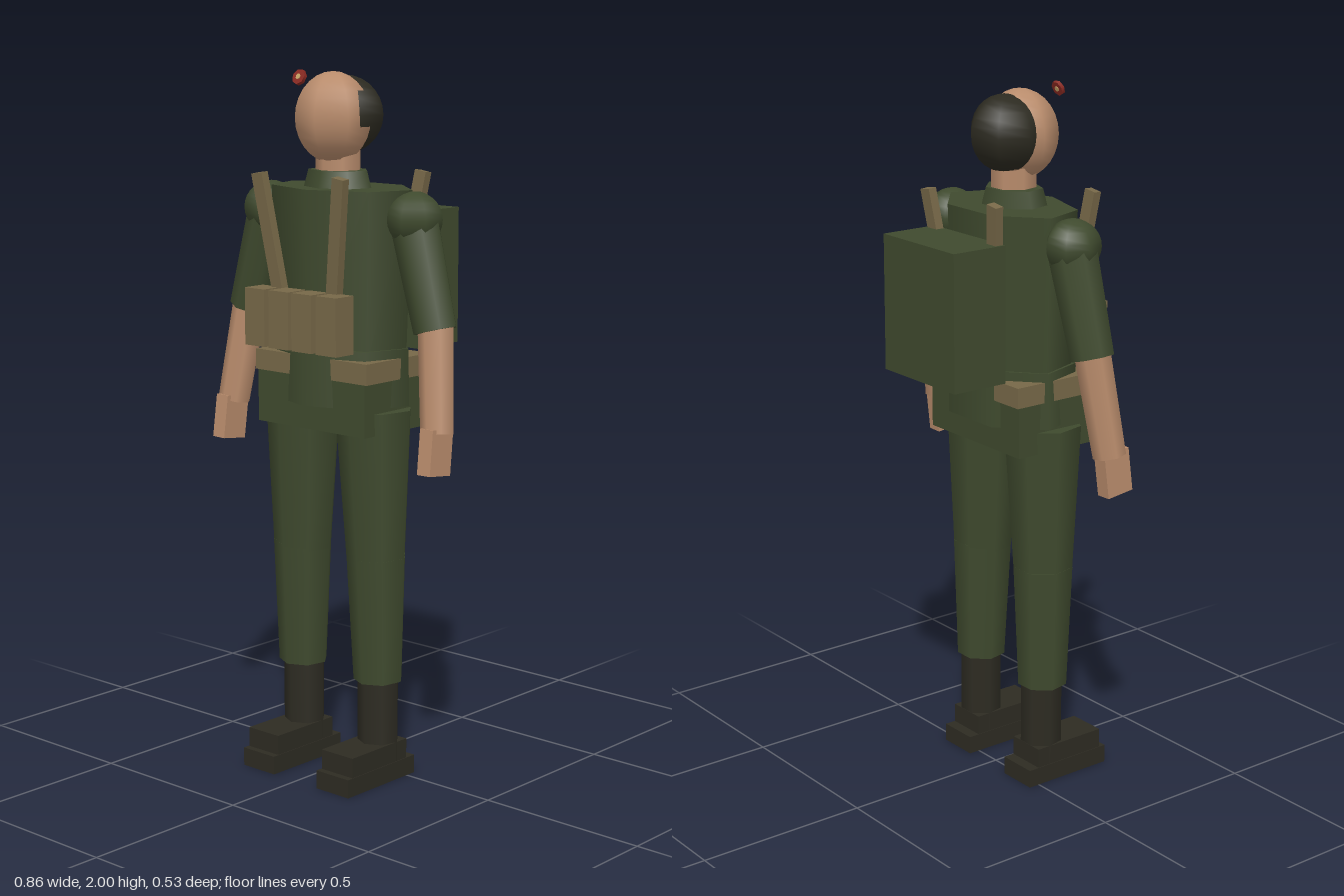
import * as THREE from 'three';

const mat = (name, color) => {
  const m = new THREE.MeshStandardMaterial({ color });
  m.name = name;
  return m;
};

export function createModel() {
  const green = mat('fatigue green', 0x3f4a2e);
  const skin = mat('skin', 0xb98c6c);
  const canvas = mat('canvas webbing', 0x776848);
  const leather = mat('boot leather', 0x2d2b22);
  const hairDark = mat('dark hair', 0x2c2a20);
  const red = mat('badge red', 0x8b2a22);
  const gold = mat('badge gold', 0xc8a468);

  const group = new THREE.Group();
  group.name = 'soldier';
  const SIDES = 7;

  const add = (name, geometry, material) => {
    const mesh = new THREE.Mesh(geometry, material);
    mesh.name = name;
    group.add(mesh);
    return mesh;
  };
  // Box given by its limits on each axis
  const box = (name, material, [x0, x1], [y0, y1], [z0, z1]) => {
    const m = add(name, new THREE.BoxGeometry(Math.abs(x1 - x0), y1 - y0, z1 - z0), material);
    m.position.set((x0 + x1) / 2, (y0 + y1) / 2, (z0 + z1) / 2);
    return m;
  };
  // Upright seven-sided drum, oval in plan
  const drum = (name, material, top, bottom, y0, y1, z, depth) => {
    const m = add(name, new THREE.CylinderGeometry(top, bottom, y1 - y0, SIDES), material);
    m.scale.z = depth;
    m.position.set(0, (y0 + y1) / 2, z);
    return m;
  };
  const ball = (name, material, [rx, ry, rz], [x, y, z]) => {
    const m = add(name, new THREE.SphereGeometry(1, SIDES, 14), material);
    m.scale.set(rx, ry, rz);
    m.position.set(x, y, z);
    return m;
  };
  // Align a mesh's y axis with the line from a (top) to b (bottom)
  const span = (mesh, a, b) => {
    const dir = a.clone().sub(b).normalize();
    mesh.quaternion.setFromUnitVectors(new THREE.Vector3(0, 1, 0), dir);
    mesh.position.copy(a).add(b).multiplyScalar(0.5);
    return mesh;
  };
  const limb = (name, material, a, b, ra, rb) => {
    const p = new THREE.Vector3(...a), q = new THREE.Vector3(...b);
    return span(add(name, new THREE.CylinderGeometry(ra, rb, p.distanceTo(q), SIDES), material), p, q);
  };
  const strap = (name, a, b) => {
    const p = new THREE.Vector3(...a), q = new THREE.Vector3(...b);
    return span(add(name, new THREE.BoxGeometry(0.04, p.distanceTo(q), 0.025), canvas), p, q);
  };

  // Jacket
  drum('torso', green, 0.23, 0.212, 1.2, 1.675, 0.047, 0.665);
  drum('jacketHem', green, 0.22, 0.224, 1.08, 1.24, 0.05, 0.71);
  box('pelvis', green, [-0.2, 0.2], [1.01, 1.18], [-0.075, 0.18]);
  drum('collar', green, 0.092, 0.107, 1.67, 1.722, 0.062, 0.8);

  // Head
  drum('neck', skin, 0.064, 0.064, 1.68, 1.79, 0.062, 1);
  ball('head', skin, [0.108, 0.125, 0.105], [0, 1.865, 0.084]);
  ball('hair', hairDark, [0.111, 0.107, 0.105], [0, 1.872, 0.036]);

  // Badge floating in front of the brow
  const badge = add('badge', new THREE.CylinderGeometry(0.022, 0.022, 0.01, SIDES), red);
  badge.position.set(0, 1.977, 0.218);
  badge.rotation.x = Math.PI / 2 - 0.4;
  const badgeCentre = add('badgeCentre', new THREE.CylinderGeometry(0.008, 0.008, 0.014, SIDES), gold);
  badgeCentre.position.copy(badge.position);
  badgeCentre.rotation.copy(badge.rotation);

  for (const [side, s] of [['left', 1], ['right', -1]]) {
    // Arms
    ball(side + 'Shoulder', green, [0.075, 0.075, 0.08], [s * 0.268, 1.602, 0.052]);
    limb(side + 'Sleeve', green, [s * 0.265, 1.6, 0.05], [s * 0.348, 1.308, 0.058], 0.069, 0.061);
    limb(side + 'Forearm', skin, [s * 0.348, 1.33, 0.056], [s * 0.385, 1.035, 0.092], 0.051, 0.047);
    const hand = box(side + 'Hand', skin, [s * 0.365, s * 0.41], [0.925, 1.05], [0.062, 0.148]);
    hand.rotation.set(-0.12, 0, s * 0.02);

    // Trousers
    limb(side + 'Thigh', green, [s * 0.133, 1.07, 0.062], [s * 0.141, 0.62, 0.06], 0.11, 0.084);
    limb(side + 'Shin', green, [s * 0.141, 0.65, 0.06], [s * 0.145, 0.29, 0.057], 0.086, 0.071);

    // Boots
    limb(side + 'BootShaft', leather, [s * 0.143, 0.31, 0.055], [s * 0.143, 0.04, 0.055], 0.06, 0.06);
    box(side + 'BootUpper', leather, [s * 0.085, s * 0.201], [0.045, 0.11], [0, 0.23]);
    box(side + 'BootSole', leather, [s * 0.083, s * 0.203], [0, 0.053], [-0.033, 0.25]);

    // Webbing straps and ammunition pouches
    strap(side + 'FrontStrap', [s * 0.15, 1.715, 0.221], [s * 0.083, 1.27, 0.182]);
    strap(side + 'BackStrap', [s * 0.15, 1.715, -0.12], [s * 0.083, 1.27, -0.073]);
    for (const x of [0.043, 0.133]) {
      box(side + 'Pouch', canvas, [s * x - 0.037, s * x + 0.037], [1.24, 1.4], [0.19, 0.262]);
    }
  }

  // Belt and backpack
  box('belt', canvas, [-0.208, 0.208], [1.157, 1.215], [-0.086, 0.181]);
  box('backpack', green, [-0.16, 0.16], [1.22, 1.605], [-0.265, -0.092]);

  return group;
}
